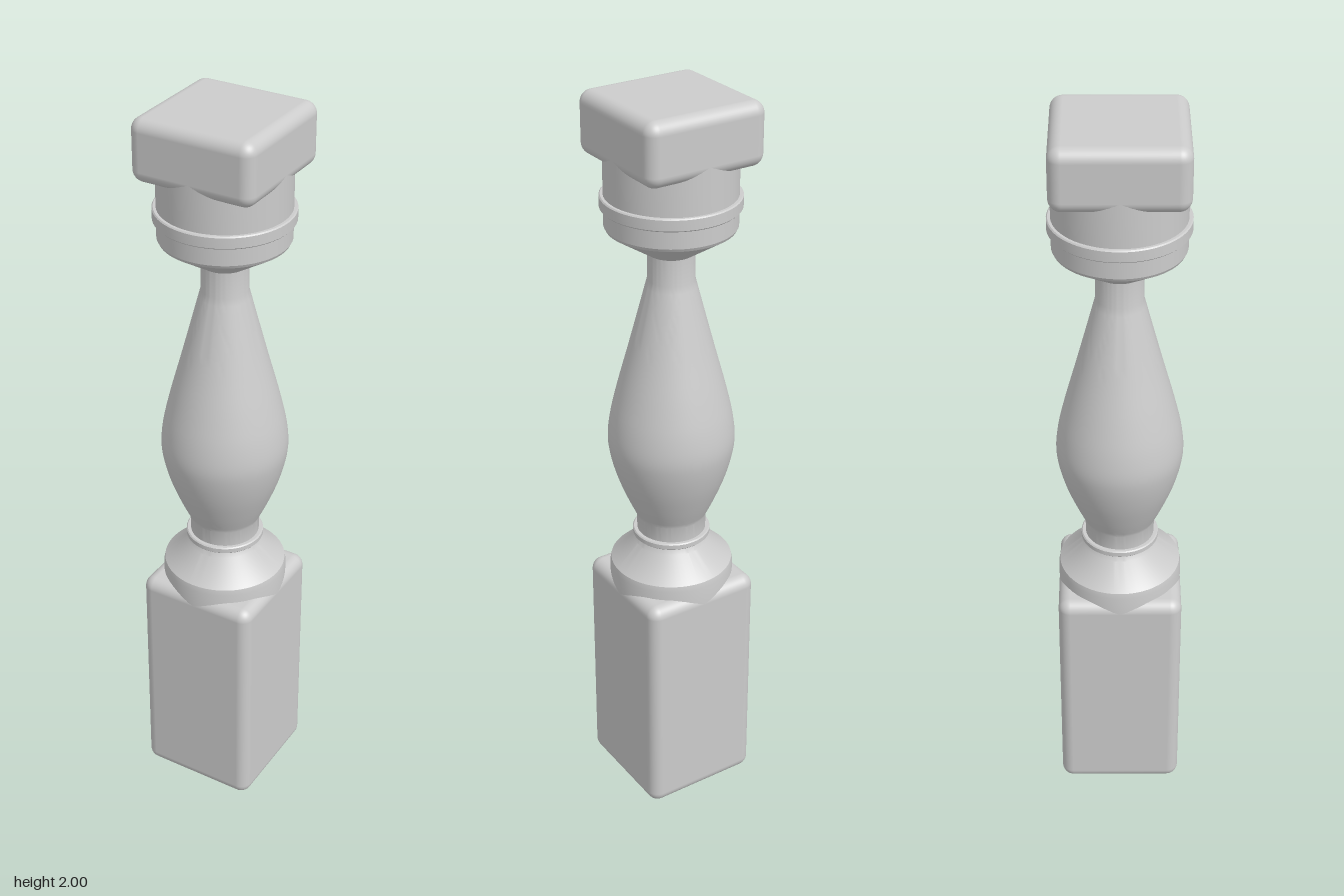
import * as THREE from 'three';
import { toCreasedNormals } from 'three/addons/utils/BufferGeometryUtils.js';
import { RoundedBoxGeometry } from 'three/addons/geometries/RoundedBoxGeometry.js';

const HALF = 0.167; // half width of the square blocks
const material = new THREE.MeshStandardMaterial({ color: 0xcccccc });

// Square block with rounded edges between two heights
function block(name, y0, y1) {
  const geometry = new RoundedBoxGeometry(HALF * 2, y1 - y0, HALF * 2, 5, 0.032);
  const mesh = new THREE.Mesh(geometry, material);
  mesh.position.y = (y0 + y1) / 2;
  mesh.name = name;
  return mesh;
}

// Turned part from [radius, height] pairs, bottom to top
function turned(name, profile) {
  const points = profile.map(([r, y]) => new THREE.Vector2(r, y));
  const geometry = toCreasedNormals(new THREE.LatheGeometry(points, 64), 0.45);
  const mesh = new THREE.Mesh(geometry, material);
  mesh.name = name;
  return mesh;
}

// Flat-edged ring
function ring(name, radius, y0, y1) {
  const b = 0.003;
  return turned(name, [[0, y0], [radius - b, y0], [radius, y0 + b], [radius, y1 - b], [radius - b, y1], [0, y1]]);
}

export function createModel() {
  const model = new THREE.Group();
  model.name = 'baluster';

  // Square ends
  model.add(block('baseBlock', 0, 0.665), block('topBlock', 1.838, 2));

  // Shoulder rising from the base block to the lower neck
  model.add(turned('shoulder', [
    [0, 0.6], [HALF, 0.6], [HALF, 0.69], [0.164, 0.705], [0.1, 0.765], [0.092, 0.785], [0, 0.785],
  ]));
  model.add(ring('lowerRing', 0.104, 0.783, 0.801));

  // Vase-shaped shaft, swelling low and tapering to the upper neck
  const swell = new THREE.CatmullRomCurve3([
    [0.093, 0.845], [0.118, 0.9], [0.145, 0.97], [0.162, 1.035], [0.167, 1.08], [0.161, 1.14],
    [0.143, 1.22], [0.112, 1.335], [0.083, 1.445], [0.061, 1.53],
  ].map(([r, y]) => new THREE.Vector3(r, y, 0)));
  model.add(turned('shaft', [
    [0.092, 0.795], ...swell.getPoints(40).map((p) => [p.x, p.y]), [0.06, 1.61],
  ]));

  // Flared cup and drum under the top block
  model.add(turned('cup', [
    [0, 1.6], [0.06, 1.6], [0.163, 1.667], [0.167, 1.675], [0.167, 1.87], [0, 1.87],
  ]));
  model.add(ring('upperRing', 0.177, 1.722, 1.755));

  return model;
}
